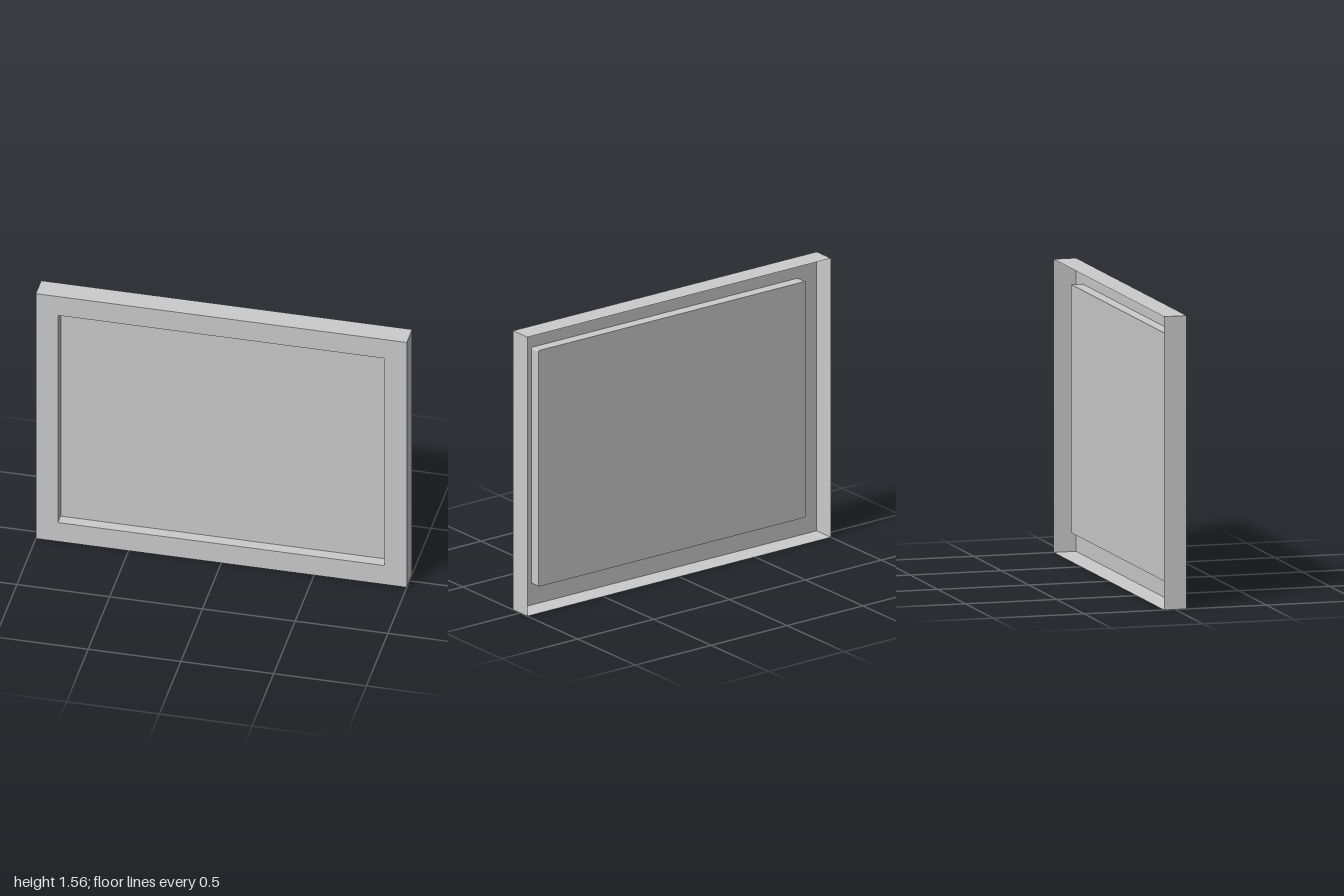
import * as THREE from 'three';

const W = 2, H = 1.56, D = 0.124; // outer size
const BORDER = 0.12;              // width of the front frame
const CORNER = 0.007;             // tiny rounding of the recess corners

const material = new THREE.MeshStandardMaterial({ color: 0xcccccc, side: THREE.DoubleSide });

function rectangle(w, h, r, Type = THREE.Shape) {
  const s = new Type();
  const x = w / 2, y = h / 2;
  if (r === 0) {
    s.moveTo(-x, -y).lineTo(x, -y).lineTo(x, y).lineTo(-x, y).closePath();
  } else {
    s.absarc(x - r, -y + r, r, -Math.PI / 2, 0);
    s.absarc(x - r, y - r, r, 0, Math.PI / 2);
    s.absarc(-x + r, y - r, r, Math.PI / 2, Math.PI);
    s.absarc(-x + r, -y + r, r, Math.PI, Math.PI * 1.5);
    s.closePath();
  }
  return s;
}

// Thin wall following an outline, from depth z0 (back) to z1 (front)
function wall(outline, z0, z1) {
  const pts = outline.getPoints(3);
  const pos = [];
  for (let i = 0; i < pts.length - 1; i++) {
    const a = pts[i], b = pts[i + 1];
    if (a.distanceTo(b) < 1e-6) continue;
    pos.push(a.x, a.y, z0, b.x, b.y, z0, b.x, b.y, z1);
    pos.push(a.x, a.y, z0, b.x, b.y, z1, a.x, a.y, z1);
  }
  const g = new THREE.BufferGeometry();
  g.setAttribute('position', new THREE.Float32BufferAttribute(pos, 3));
  g.computeVertexNormals();
  return g;
}

export function createModel() {
  const group = new THREE.Group();
  group.name = 'framedPanel';
  const add = (name, geometry, z = 0) => {
    const mesh = new THREE.Mesh(geometry, material);
    mesh.name = name;
    mesh.position.set(0, H / 2, z);
    group.add(mesh);
  };
  const innerW = W - 2 * BORDER, innerH = H - 2 * BORDER;
  const outer = rectangle(W, H, 0);
  const inner = rectangle(innerW, innerH, CORNER);

  // Front face of the frame with its opening
  const face = rectangle(W, H, 0);
  face.holes.push(rectangle(innerW, innerH, CORNER, THREE.Path));
  add('frameFace', new THREE.ShapeGeometry(face, 3), D / 2);

  // Outer rim, open at the back
  add('outerRim', wall(outer, -D / 2, D / 2));

  // Recess walls and the sunken panel at half depth
  add('recessWalls', wall(inner, 0, D / 2));
  add('recessedPanel', new THREE.ShapeGeometry(inner, 3));

  return group;
}
